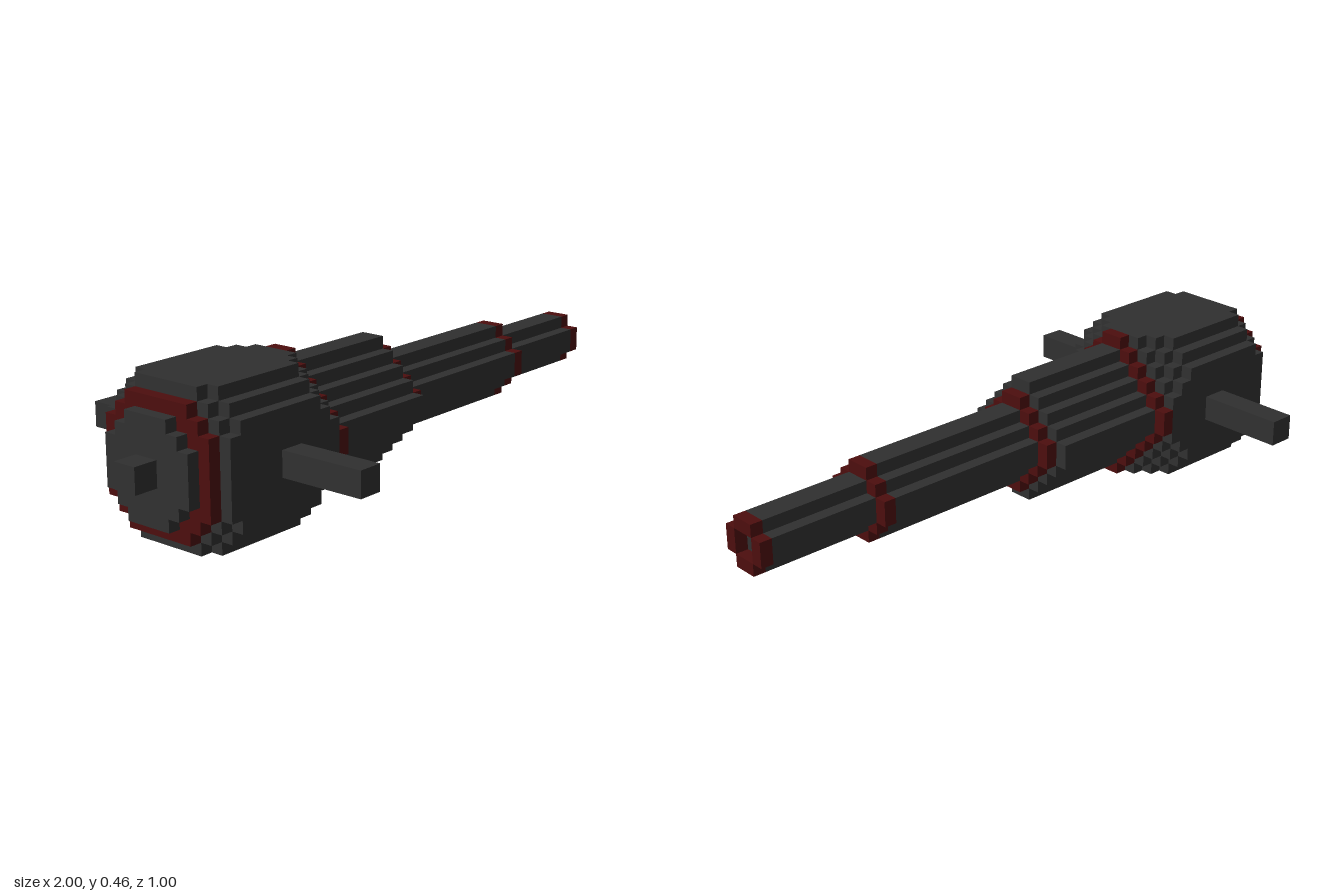
import * as THREE from 'three';

const U = 2 / 52; // size of one block
const MID = 6;    // height of the long axis, in blocks

// Stepped round outline: blocks with |row| + |column| <= sum, at most half wide each way
function steppedOutline(half, sum) {
  const quarter = [];
  for (let r = 1; r <= half; r++) {
    const w = Math.min(half, sum - r);
    if (r === 1 || w !== Math.min(half, sum - r + 1)) quarter.push([w, r - 1]);
    if (r === half || w !== Math.min(half, sum - r - 1)) quarter.push([w, r]);
  }
  const pts = [];
  for (let k = 0; k < 4; k++) {
    for (const [a, b] of quarter) {
      const [x, y] = [[a, b], [-b, a], [-a, -b], [b, -a]][k];
      pts.push(new THREE.Vector2(x * U, y * U));
    }
  }
  return new THREE.Shape(pts);
}

export function createModel() {
  const model = new THREE.Group();
  model.name = 'blockCannon';
  const dark = new THREE.MeshStandardMaterial({ color: 0x303030 });
  dark.name = 'charcoal';
  const red = new THREE.MeshStandardMaterial({ color: 0x4d0e0e });
  red.name = 'darkRed';

  // name, material, start block, length, half width, corner sum, bored
  const sections = [
    ['breechPlate', dark, 2, 1, 4, 6],
    ['breechRing', red, 3, 1, 5, 8],
    ['bodyRearStep', dark, 4, 1, 6, 9],
    ['body', dark, 5, 8, 6, 10],
    ['bodyFrontStepOuter', dark, 13, 1, 6, 9],
    ['bodyFrontStepInner', dark, 14, 1, 6, 8],
    ['bodyRing', red, 15, 1, 6, 7],
    ['barrelThick', dark, 16, 10, 5, 6],
    ['barrelRingRear', red, 26, 1, 4, 5],
    ['barrelMiddle', dark, 27, 14, 3, 4],
    ['barrelRingFront', red, 41, 1, 3, 4],
    ['barrelThin', dark, 42, 9, 2, 3],
    ['muzzleRing', red, 51, 1, 2, 3, true],
  ];
  for (const [name, material, start, length, half, sum, bored] of sections) {
    const shape = steppedOutline(half, sum);
    if (bored) {
      shape.holes.push(new THREE.Path([[-U, -U], [-U, U], [U, U], [U, -U]]
        .map(([x, y]) => new THREE.Vector2(x, y))));
    }
    const geo = new THREE.ExtrudeGeometry(shape, { depth: length * U, bevelEnabled: false });
    geo.rotateY(Math.PI / 2);
    const mesh = new THREE.Mesh(geo, material);
    mesh.name = name;
    mesh.position.set(-1 + start * U, MID * U, 0);
    model.add(mesh);
  }

  // Square knob behind the breech
  const knob = new THREE.Mesh(new THREE.BoxGeometry(2 * U, 2 * U, 2 * U), dark);
  knob.name = 'breechKnob';
  knob.position.set(-1 + U, MID * U, 0);
  model.add(knob);

  // Side pivots
  for (const side of [1, -1]) {
    const pivot = new THREE.Mesh(new THREE.BoxGeometry(2 * U, 2 * U, 7 * U), dark);
    pivot.name = side > 0 ? 'pivotFront' : 'pivotBack';
    pivot.position.set(-1 + 10 * U, MID * U, side * 9.5 * U);
    model.add(pivot);
  }
  return model;
}
